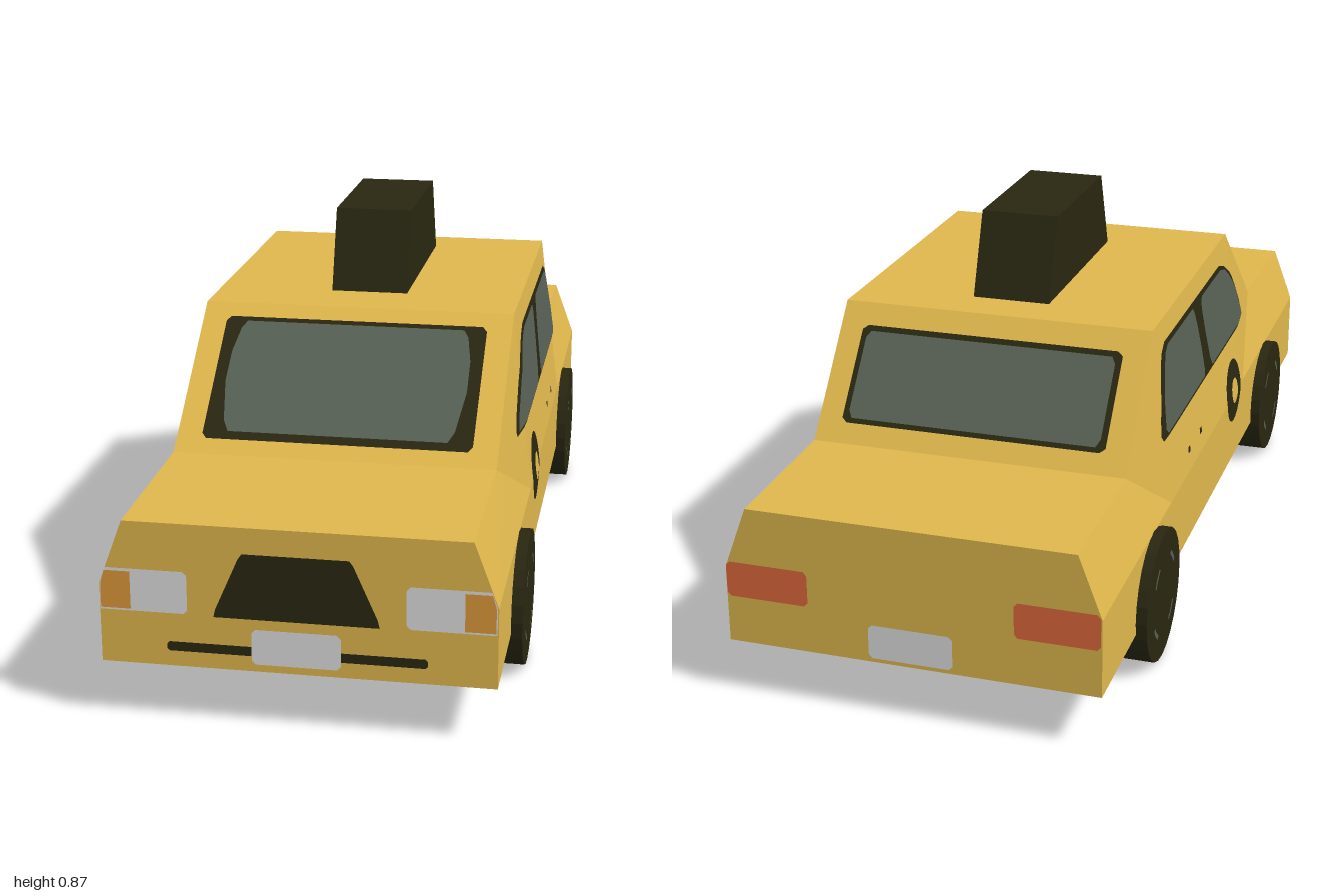
import * as THREE from 'three';

const paint = (name, color) =>
  new THREE.MeshStandardMaterial({ name, color, flatShading: true, side: THREE.DoubleSide });
const yellow = paint('yellow', 0xdfb74c);
const dark = paint('dark', 0x292711);
const glass = paint('glass', 0x576055);
const white = paint('white', 0xdedede);
const orange = paint('orange', 0xde983b);
const red = paint('red', 0xdf6a3c);

// Body stations from front to back: upper edge (x 0.35) and crease (x 0.40)
const V = (x, y, z) => new THREE.Vector3(x, y, z);
const upper = [[0.425, 1], [0.432, 0.61], [0.685, 0.29], [0.685, -0.44], [0.432, -0.65], [0.425, -1]]
  .map(([y, z]) => V(0.35, y, z));
const crease = [1, 0.61, 0.33, -0.44, -0.65, -1].map(z => V(0.4, 0.29, z));
const sill = crease.map(p => V(0.4, 0.12, p.z));
const mirror = p => V(-p.x, p.y, p.z);

function bodyGeometry() {
  const pts = [];
  const quad = (a, b, c, d) => pts.push(a, b, c, a, c, d);
  const both = (a, b, c, d) => {
    quad(a, b, c, d);
    pts.push(...[a, c, b, a, d, c].map(mirror));
  };
  for (let i = 0; i < 5; i++) {
    const u = upper[i], v = upper[i + 1], c = crease[i], d = crease[i + 1];
    if (i === 1) both(d, v, u, c); else both(c, d, v, u);
    both(sill[i], sill[i + 1], d, c);
    quad(mirror(u), u, v, mirror(v));
  }
  // Nose, tail and floor
  const [s, c, u] = [sill[0], crease[0], upper[0]];
  const [t, e, w] = [sill[5], crease[5], upper[5]];
  quad(mirror(s), s, c, mirror(c));
  quad(mirror(c), c, u, mirror(u));
  quad(t, mirror(t), mirror(e), e);
  quad(e, mirror(e), mirror(w), w);
  quad(mirror(t), t, s, mirror(s));
  const geo = new THREE.BufferGeometry().setFromPoints(pts);
  geo.computeVertexNormals();
  return geo;
}

// Width of the body side at a given height and depth
const sidePlanes = [[upper[1], upper[2], crease[2]], [upper[2], upper[3], crease[3]], [upper[3], upper[4], crease[3]]]
  .map(p => new THREE.Plane().setFromCoplanarPoints(...p));
const sideX = (y, z) => Math.min(0.4, ...sidePlanes.map(
  ({ normal: n, constant: k }) => -(k + n.y * y + n.z * z) / n.x));

// Ways to lay a flat (u, v) pattern on the body
const onSide = (s, lift) => (u, v) => [s * (sideX(v, u) + lift), v, u];
const onWindscreen = lift => (u, v) => [u, v + lift, 0.61 - (v - 0.432) * 0.32 / 0.253 + lift];
const onRearScreen = lift => (u, v) => [u, v + lift, -0.65 + (v - 0.432) * 0.21 / 0.253 - lift];

function drape(geo, place) {
  const p = geo.attributes.position;
  for (let i = 0; i < p.count; i++) p.setXYZ(i, ...place(p.getX(i), p.getY(i)));
  geo.computeVertexNormals();
  return geo;
}

// Pane outlined by rows of [height, one edge, other edge]
function pane(rows, place) {
  const last = rows.length - 1;
  const geo = new THREE.PlaneGeometry(1, 1, 24, last * 3);
  return drape(geo, (u, v) => {
    const t = (v + 0.5) * last, i = Math.min(last - 1, Math.floor(t + 1e-6));
    const [y, a, b] = rows[i].map((n, k) => THREE.MathUtils.lerp(n, rows[i + 1][k], t - i));
    return place(THREE.MathUtils.lerp(a, b, u + 0.5), y);
  });
}
const symmetric = rows => rows.map(([y, x]) => [y, -x, x]);

const sideFrame = [[0.437, 0.405, -0.45], [0.45, 0.412, -0.46], [0.48, 0.395, -0.455], [0.54, 0.34, -0.438],
  [0.59, 0.285, -0.42], [0.62, 0.235, -0.402], [0.637, 0.18, -0.37]];
const frontGlass = [[0.446, 0.395, 0.015], [0.47, 0.385, 0], [0.54, 0.32, -0.02], [0.59, 0.265, -0.03],
  [0.615, 0.225, -0.032], [0.627, 0.18, -0.02]];
const rearGlass = [[0.446, -0.065, -0.42], [0.46, -0.06, -0.436], [0.52, -0.07, -0.425], [0.58, -0.087, -0.4],
  [0.615, -0.102, -0.38], [0.627, -0.115, -0.355]];
const screenFrame = symmetric([[0.456, 0.285], [0.464, 0.295], [0.652, 0.295], [0.66, 0.285]]);
const screenGlass = symmetric([[0.468, 0.24], [0.485, 0.253], [0.55, 0.268], [0.6, 0.267], [0.64, 0.256], [0.652, 0.245]]);
const backFrame = symmetric([[0.468, 0.285], [0.476, 0.297], [0.635, 0.297], [0.643, 0.285]]);
const backGlass = symmetric([[0.476, 0.275], [0.49, 0.284], [0.62, 0.284], [0.632, 0.275]]);

export function createModel() {
  const model = new THREE.Group();
  const add = (name, geo, mat, parent = model) => {
    const mesh = new THREE.Mesh(geo, mat);
    mesh.name = name;
    parent.add(mesh);
    return mesh;
  };
  // Flat plate on the nose or tail
  const plate = (name, mat, z, points) =>
    add(name, new THREE.ShapeGeometry(new THREE.Shape(points.map(p => new THREE.Vector2(...p)))), mat).position.z = z;
  // Rectangle with cut corners
  const chip = (x0, x1, y0, y1, c = 0.008) => [[x0 + c, y0], [x1 - c, y0], [x1, y0 + c], [x1, y1 - c],
    [x1 - c, y1], [x0 + c, y1], [x0, y1 - c], [x0, y0 + c]];

  add('body', bodyGeometry(), yellow);
  add('underside', new THREE.BoxGeometry(0.75, 0.008, 1.94), dark).position.y = 0.118;

  // Roof sign
  const signShape = new THREE.Shape([[-0.15, 0.68], [0.34, 0.68], [0.27, 0.867], [-0.085, 0.867]]
    .map(p => new THREE.Vector2(...p)));
  const sign = add('roofSign', new THREE.ExtrudeGeometry(signShape, { depth: 0.176, bevelEnabled: false }), dark);
  sign.rotation.y = Math.PI / 2;
  sign.position.x = -0.088;

  // Front and rear screens
  add('windscreenFrame', pane(screenFrame, onWindscreen(0.002)), dark);
  add('windscreenGlass', pane(screenGlass, onWindscreen(0.004)), glass);
  add('rearScreenFrame', pane(backFrame, onRearScreen(0.002)), dark);
  add('rearScreenGlass', pane(backGlass, onRearScreen(0.004)), glass);

  // Nose details
  plate('grille', dark, 1.003, [[-0.167, 0.233], [0.167, 0.233], [0.163, 0.25], [0.115, 0.36],
    [0.107, 0.371], [-0.107, 0.371], [-0.115, 0.36], [-0.163, 0.25]]);
  plate('bumperSlot', dark, 1.003, chip(-0.263, 0.263, 0.154, 0.174, 0.005));
  plate('frontNumberPlate', white, 1.006, chip(-0.09, 0.09, 0.138, 0.213));
  plate('rearNumberPlate', white, -1.003, chip(-0.09, 0.09, 0.13, 0.205));

  for (const s of [1, -1]) {
    const side = s > 0 ? 'left' : 'right';
    const flip = pts => pts.map(([x, y]) => [s * x, y]);

    // Lamps
    plate(side + 'Headlight', white, 1.003, flip([[0.228, 0.235], [0.398, 0.235], [0.398, 0.292],
      [0.387, 0.325], [0.228, 0.325], [0.22, 0.317], [0.22, 0.243]]));
    plate(side + 'Indicator', orange, 1.006, flip([[0.335, 0.24], [0.396, 0.24], [0.396, 0.292],
      [0.388, 0.32], [0.335, 0.32]]));
    plate(side + 'TailLight', red, -1.003, flip(chip(0.22, 0.398, 0.225, 0.303)));

    // Side windows
    add(side + 'WindowFrame', pane(sideFrame, onSide(s, 0.003)), dark);
    add(side + 'FrontWindow', pane(frontGlass, onSide(s, 0.006)), glass);
    add(side + 'RearWindow', pane(rearGlass, onSide(s, 0.006)), glass);

    // Plain round door badge and door handles
    const disc = (r, lift) =>
      drape(new THREE.RingGeometry(0, r, 28, 8).translate(0.213, 0.305, 0), onSide(s, lift));
    add(side + 'DoorBadge', disc(0.079, 0.003), dark);
    add(side + 'DoorBadgeCentre', disc(0.032, 0.006), yellow);
    for (const z of [-0.142, -0.258])
      add(side + 'DoorHandle', drape(new THREE.PlaneGeometry(0.018, 0.014).translate(z, 0.341, 0), onSide(s, 0.003)), dark);

    // Wheels with short trim arcs
    for (const z of [0.6, -0.595]) {
      const wheel = new THREE.Group();
      wheel.name = side + (z > 0 ? 'FrontWheel' : 'RearWheel');
      wheel.position.set(s * 0.367, 0.146, z);
      add('tyre', new THREE.CylinderGeometry(0.146, 0.146, 0.113, 24), dark, wheel).rotation.z = Math.PI / 2;
      for (let k = 0; k < 4; k++) {
        const arc = add('wheelTrim', new THREE.RingGeometry(0.087, 0.097, 6, 1, k * Math.PI / 2 + 0.5, 0.5), glass, wheel);
        arc.rotation.y = s * Math.PI / 2;
        arc.position.x = s * 0.0585;
      }
      model.add(wheel);
    }
  }
  return model;
}
